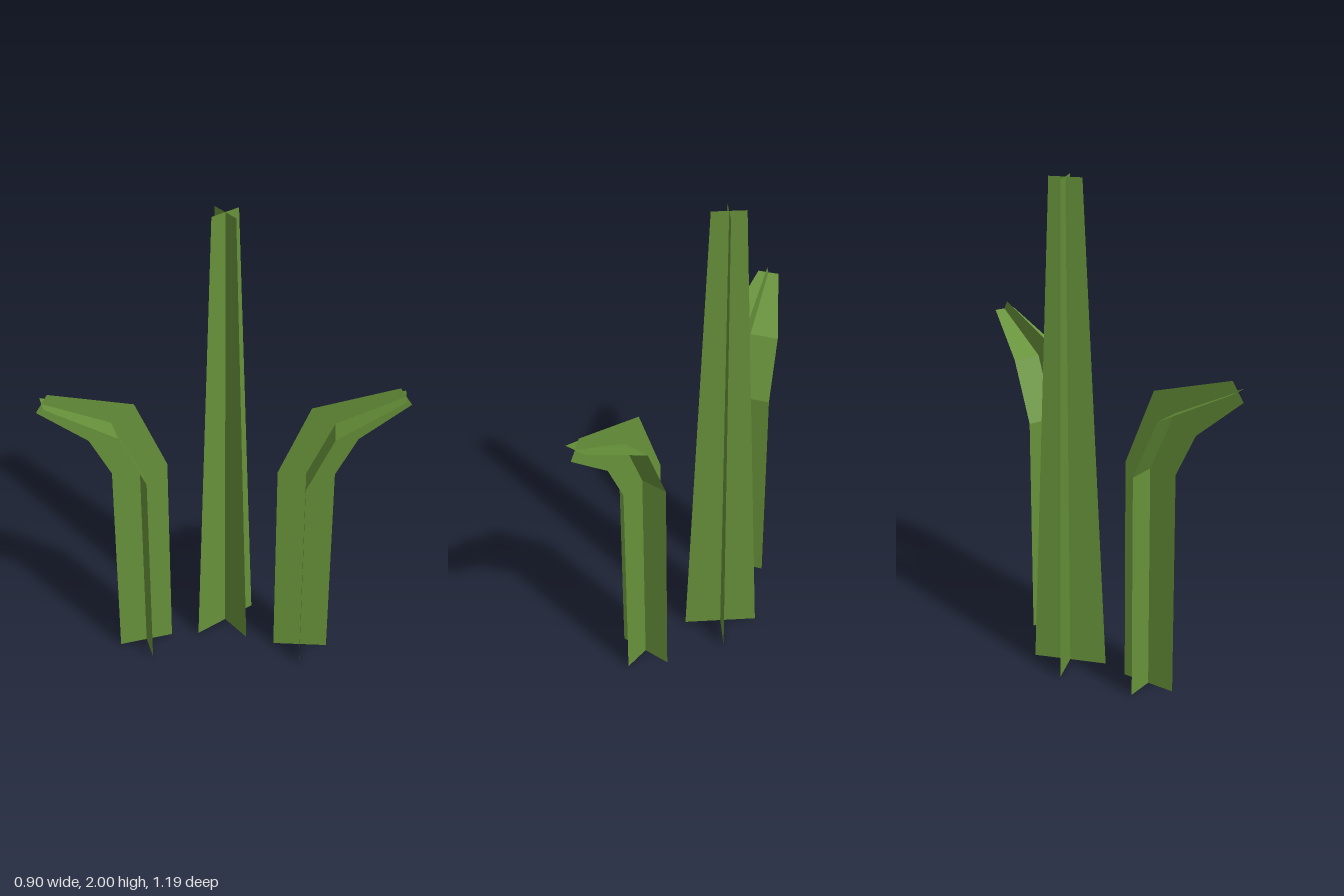
import * as THREE from 'three';

const leafGreen = new THREE.MeshStandardMaterial({ color: 0x67923a, side: THREE.DoubleSide });
leafGreen.name = 'leafGreen';

// Flat-faced ribbon through rows of [left point, right point]
function ribbon(name, rows) {
  const index = [];
  for (let i = 0; i < rows.length - 1; i++) {
    const a = i * 2;
    index.push(a, a + 1, a + 3, a, a + 3, a + 2);
  }
  const indexed = new THREE.BufferGeometry();
  indexed.setAttribute('position', new THREE.Float32BufferAttribute(rows.flat(2), 3));
  indexed.setIndex(index);
  const geometry = indexed.toNonIndexed();
  geometry.computeVertexNormals();
  const mesh = new THREE.Mesh(geometry, leafGreen);
  mesh.name = name;
  return mesh;
}

// A blade is two crossed ribbons along a spine in the yz plane.
// Spine rows: z, y, half width, and the z and y of the half-width offset in profile
function blade(name, spine, x, z, turn) {
  const group = new THREE.Group();
  group.name = name;
  group.add(
    ribbon('broadLeaf', spine.map(([sz, sy, w]) => [[-w, sy, sz], [w, sy, sz]])),
    ribbon('crossLeaf', spine.map(([sz, sy, , oz, oy]) => [[0, sy + oy, sz - oz], [0, sy - oy, sz + oz]]))
  );
  group.position.set(x, 0, z);
  group.rotation.y = turn;
  return group;
}

export function createModel() {
  const model = new THREE.Group();
  model.name = 'grassTuft';

  const straight = [
    [0, 0, 0.15, 0.15, 0],
    [0, 2, 0.065, 0.065, 0],
  ];
  const bent = [
    [0, 0, 0.115, 0.115, 0],
    [0, 0.925, 0.115, 0.115, 0],
    [0.107, 1.17, 0.115, 0.094, 0.069],
    [0.375, 1.308, 0.043, 0.024, 0.037],
  ];

  // Tall centre blade and two blades bending outwards
  model.add(
    blade('tallBlade', straight, -0.163, -0.13, 0),
    blade('backBentBlade', bent, 0.167, -0.285, Math.atan2(0.66, -0.75)),
    blade('frontBentBlade', bent, -0.272, 0.223, Math.atan2(-0.37, 0.93))
  );
  return model;
}
